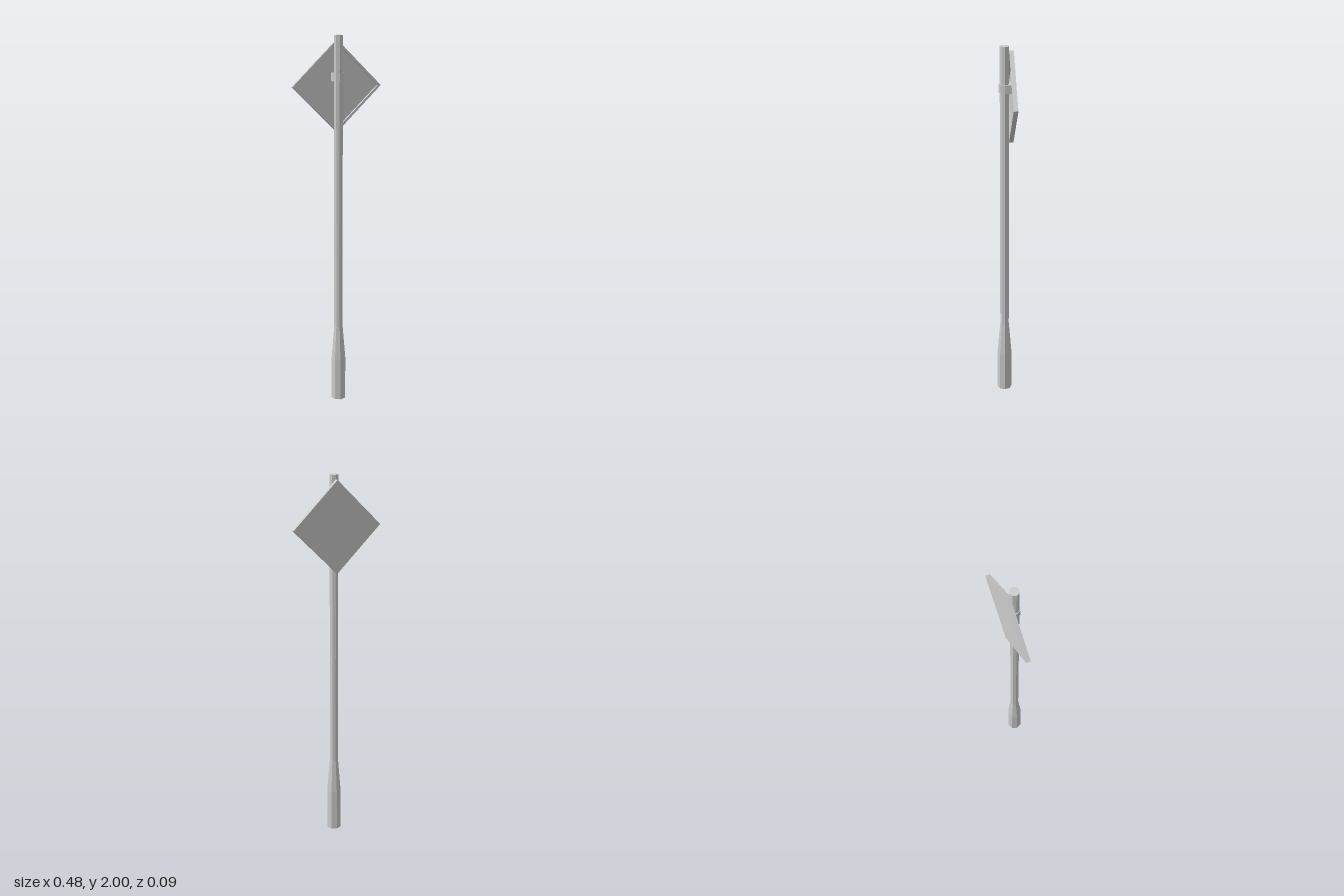
import * as THREE from 'three';

export function createModel() {
  const group = new THREE.Group();
  const material = new THREE.MeshStandardMaterial({ color: 0xcccccc, flatShading: true });
  const add = (name, geometry, parent = group) => {
    const mesh = new THREE.Mesh(geometry, material);
    mesh.name = name;
    parent.add(mesh);
    return mesh;
  };
  const poleZ = 0.002;

  // Octagonal pole: wide foot, taper, slim shaft, closed top and open bottom
  const profile = [[0.04, 0], [0.04, 0.23], [0.024, 0.42], [0.024, 2], [0, 2]]
    .map(([r, y]) => new THREE.Vector2(r, y));
  add('pole', new THREE.LatheGeometry(profile, 8)).position.z = poleZ;

  // Diamond sign: a thin back sheet with a raised rim on the front
  const sign = new THREE.Group();
  sign.name = 'signPanel';
  sign.position.set(0, 1.735, -0.045);
  group.add(sign);
  const diamond = (r, Type) => new Type(
    [[r, 0], [0, r], [-r, 0], [0, -r]].map(([x, y]) => new THREE.Vector2(x, y)));
  const outer = 0.242, inner = 0.225, sheet = 0.006, depth = 0.023;
  const extrude = (shape, d) => new THREE.ExtrudeGeometry(shape, { depth: d, bevelEnabled: false });
  add('signSheet', extrude(diamond(outer, THREE.Shape), sheet), sign);
  const rim = diamond(outer, THREE.Shape);
  rim.holes.push(diamond(inner, THREE.Path));
  add('signRim', extrude(rim, depth - sheet), sign).position.z = sheet;

  // Clamp: half octagon round the pole with straight sides back to the sheet
  const r = 0.029, clampShape = new THREE.Shape();
  clampShape.moveTo(r, 0.041);
  for (let i = 0; i <= 4; i++) {
    const a = -i * Math.PI / 4;
    clampShape.lineTo(r * Math.cos(a), r * Math.sin(a));
  }
  clampShape.lineTo(-r, 0.041);
  clampShape.closePath();
  const clamp = add('clamp', extrude(clampShape, 0.044));
  clamp.rotation.x = -Math.PI / 2;
  clamp.position.set(0, 1.762, poleZ);

  return group;
}
